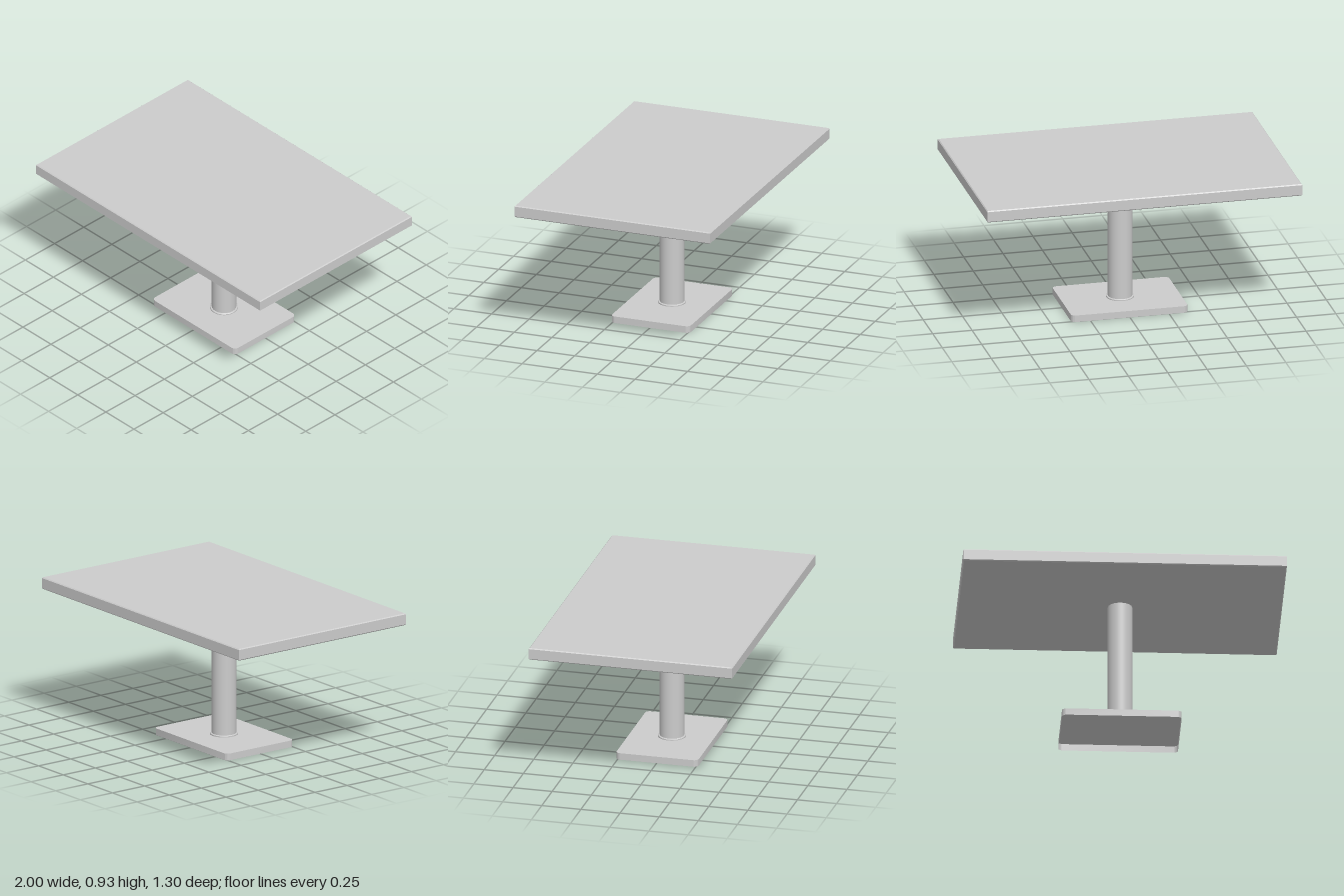
import * as THREE from 'three';
import { toCreasedNormals } from 'three/addons/utils/BufferGeometryUtils.js';

const material = new THREE.MeshStandardMaterial({ color: 0xcccccc });
const shellMaterial = new THREE.MeshStandardMaterial({ color: 0xcccccc, side: THREE.DoubleSide });

// Centred rectangle with optional rounded corners
function rectangle(halfW, halfD, r = 0) {
  const s = new THREE.Shape();
  if (r === 0) {
    s.moveTo(-halfW, -halfD).lineTo(halfW, -halfD).lineTo(halfW, halfD).lineTo(-halfW, halfD);
  } else {
    s.absarc(halfW - r, -halfD + r, r, -Math.PI / 2, 0);
    s.absarc(halfW - r, halfD - r, r, 0, Math.PI / 2);
    s.absarc(-halfW + r, halfD - r, r, Math.PI / 2, Math.PI);
    s.absarc(-halfW + r, -halfD + r, r, Math.PI, Math.PI * 1.5);
  }
  s.closePath();
  return s;
}

function addMesh(group, name, geometry, mat = material) {
  const mesh = new THREE.Mesh(geometry, mat);
  mesh.name = name;
  group.add(mesh);
  return mesh;
}

export function createModel() {
  const table = new THREE.Group();
  table.name = 'pedestalTable';

  // Rectangular top with a fine chamfer along its upper and lower edges
  const c = 0.006, bottom = 0.857, top = 0.933;
  const slab = new THREE.ExtrudeGeometry(rectangle(1 - c, 0.65 - c), {
    depth: top - bottom - 2 * c, bevelEnabled: true, bevelSize: c, bevelThickness: c, bevelSegments: 1,
  });
  slab.rotateX(-Math.PI / 2).translate(0, bottom + c, 0);
  addMesh(table, 'tabletop', slab);

  // Round column
  const column = new THREE.CylinderGeometry(0.076, 0.076, bottom - 0.043, 48);
  column.translate(0, (bottom + 0.043) / 2, 0);
  addMesh(table, 'column', column);

  // Low collar where the column meets the base
  const collarProfile = [[0, 0.043], [0.086, 0.043], [0.086, 0.05], [0.083, 0.053], [0.07, 0.053]]
    .map(([x, y]) => new THREE.Vector2(x, y));
  addMesh(table, 'collar', toCreasedNormals(new THREE.LatheGeometry(collarProfile, 48), 0.5));

  // Base plate: a shallow inverted tray, open underneath
  const baseShape = rectangle(0.37, 0.262, 0.03);
  const plate = new THREE.ShapeGeometry(baseShape, 8);
  plate.rotateX(-Math.PI / 2).translate(0, 0.043, 0);
  addMesh(table, 'basePlate', plate, shellMaterial);

  // Thin skirt around the base plate
  const outline = baseShape.getPoints(8);
  const positions = [], indices = [];
  outline.forEach((p, i) => {
    positions.push(p.x, 0, -p.y, p.x, 0.043, -p.y);
    const a = 2 * i, b = 2 * ((i + 1) % outline.length);
    indices.push(a, b, b + 1, a, b + 1, a + 1);
  });
  const skirt = new THREE.BufferGeometry();
  skirt.setAttribute('position', new THREE.Float32BufferAttribute(positions, 3));
  skirt.setIndex(indices);
  addMesh(table, 'baseSkirt', toCreasedNormals(skirt, 0.6), shellMaterial);

  return table;
}
